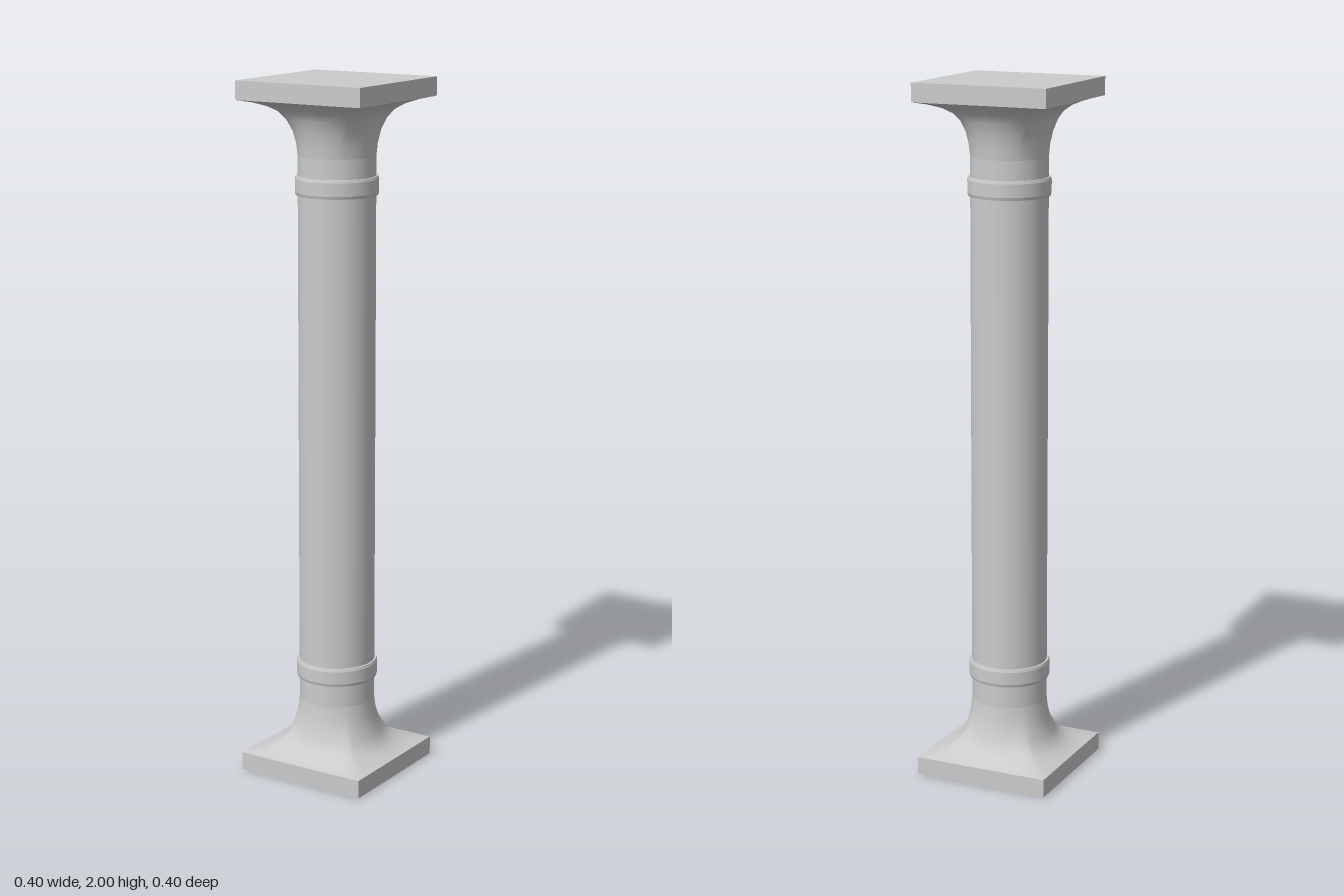
import * as THREE from 'three';
import { toCreasedNormals } from 'three/addons/utils/BufferGeometryUtils.js';

const SIDES = 48;
const SHAFT_R = 0.109;
const HALF = 0.2;      // half width of the square slabs
const SLAB_H = 0.053;
const material = new THREE.MeshStandardMaterial({ color: 0xcccccc, side: THREE.DoubleSide });

function addMesh(parent, name, geometry) {
  const mesh = new THREE.Mesh(geometry, material);
  mesh.name = name;
  parent.add(mesh);
  return mesh;
}

// Smooth loft that turns from a square at the slab into the round shaft
function flareGeometry() {
  const profile = [[0.2, SLAB_H], [0.18, 0.06], [0.158, 0.072], [0.142, 0.087], [0.13, 0.108],
    [0.119, 0.14], [0.112, 0.175], [SHAFT_R, 0.21]];
  const positions = [], index = [];
  profile.forEach(([half, y], j) => {
    const squareness = (half - SHAFT_R) / (HALF - SHAFT_R);
    for (let i = 0; i < SIDES; i++) {
      const a = (i / SIDES) * Math.PI * 2, c = Math.cos(a), s = Math.sin(a);
      const toSquare = 1 / Math.max(Math.abs(c), Math.abs(s));
      const r = half * (1 + (toSquare - 1) * squareness);
      positions.push(r * c, y, r * s);
      if (j === 0) continue;
      const next = (i + 1) % SIDES, low = (j - 1) * SIDES, up = j * SIDES;
      index.push(low + i, up + i, low + next, low + next, up + i, up + next);
    }
  });
  const geometry = new THREE.BufferGeometry();
  geometry.setAttribute('position', new THREE.Float32BufferAttribute(positions, 3));
  geometry.setIndex(index);
  geometry.computeVertexNormals();
  return geometry;
}

// Hollow square slab walls with the flare rising from them
function columnEnd(name) {
  const end = new THREE.Group();
  end.name = name;
  const walls = new THREE.CylinderGeometry(HALF * Math.SQRT2, HALF * Math.SQRT2, SLAB_H, 4, 1, true);
  walls.rotateY(Math.PI / 4).translate(0, SLAB_H / 2, 0);
  addMesh(end, 'slabWalls', toCreasedNormals(walls, 0.5));
  addMesh(end, 'flare', flareGeometry());
  return end;
}

// Raised ring with slightly bevelled edges
function bandGeometry(y0, y1) {
  const points = [[0.108, y0], [0.1145, y0], [0.117, y0 + 0.008], [0.117, y1 - 0.008], [0.1145, y1], [0.108, y1]]
    .map(([r, y]) => new THREE.Vector2(r, y));
  return toCreasedNormals(new THREE.LatheGeometry(points, SIDES), 0.25);
}

export function createModel() {
  const model = new THREE.Group();
  model.name = 'column';

  // Base, open underneath
  model.add(columnEnd('base'));

  // Capital, the base turned over and closed with a lid
  const capital = columnEnd('capital');
  capital.rotation.x = Math.PI;
  capital.position.y = 2;
  model.add(capital);
  const lid = new THREE.PlaneGeometry(HALF * 2, HALF * 2);
  lid.rotateX(-Math.PI / 2).translate(0, 2, 0);
  addMesh(model, 'capitalLid', lid);

  // Shaft
  const shaft = new THREE.CylinderGeometry(SHAFT_R, SHAFT_R, 1.58, SIDES, 1, true);
  shaft.translate(0, 1, 0);
  addMesh(model, 'shaft', shaft);

  // Bands
  addMesh(model, 'lowerBand', bandGeometry(0.275, 0.328));
  addMesh(model, 'upperBand', bandGeometry(1.682, 1.735));

  return model;
}
